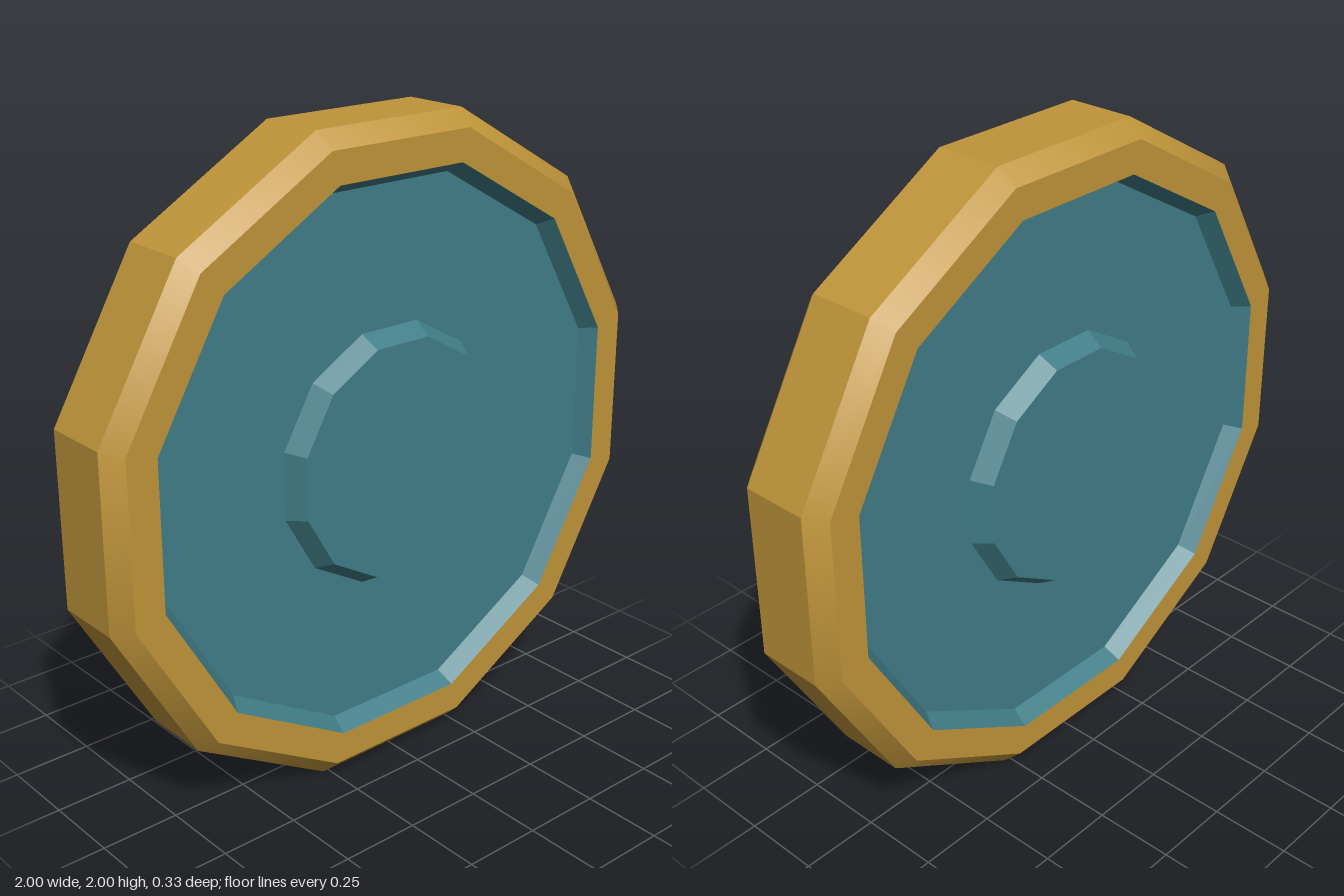
import * as THREE from 'three';

const SIDES = 12;
const OFFSET = Math.PI / SIDES; // turns the polygon so that flats lie on the axes

// Ring of facets between two [apothem, z] profile points, around the z axis
function band(a, b, smooth = false) {
  const points = [a, b].map(([r, z]) => new THREE.Vector2(r / Math.cos(OFFSET), z));
  let geo = new THREE.LatheGeometry(points, SIDES, OFFSET);
  geo.rotateX(Math.PI / 2);
  if (!smooth) {
    geo = geo.toNonIndexed();
    geo.computeVertexNormals();
  }
  return geo;
}

export function createModel() {
  const gold = new THREE.MeshStandardMaterial({ color: 0xc0953a });
  gold.name = 'gold';
  const teal = new THREE.MeshStandardMaterial({ color: 0x417e89 });
  teal.name = 'teal';

  const model = new THREE.Group();
  model.name = 'disc';

  const add = (parent, name, geo, material) => {
    const mesh = new THREE.Mesh(geo, material);
    mesh.name = name;
    parent.add(mesh);
  };

  // Flat outer edge of the rim
  add(model, 'rimEdge', band([1, -0.107], [1, 0.107]), gold);

  // Both faces are the same, the back one turned half round
  for (const side of ['front', 'back']) {
    const face = new THREE.Group();
    face.name = side + 'Face';
    if (side === 'back') face.rotation.y = Math.PI;

    // Rim: softly shaded bevel and flat face
    add(face, 'rimBevel', band([1, 0.107], [0.95, 0.16], true), gold);
    add(face, 'rimFace', band([0.95, 0.16], [0.853, 0.16]), gold);

    // Recessed panel with sloping wall
    add(face, 'recessWall', band([0.853, 0.16], [0.82, 0.105]), teal);
    add(face, 'recessFloor', band([0.82, 0.105], [0.395, 0.105]), teal);

    // Raised hub
    add(face, 'hubWall', band([0.395, 0.105], [0.36, 0.165]), teal);
    const cap = new THREE.CircleGeometry(0.36 / Math.cos(OFFSET), SIDES, OFFSET);
    cap.translate(0, 0, 0.165);
    add(face, 'hubCap', cap, teal);

    model.add(face);
  }

  // Stand the disc on the ground
  model.children.forEach((part) => { part.position.y = 1; });
  return model;
}
